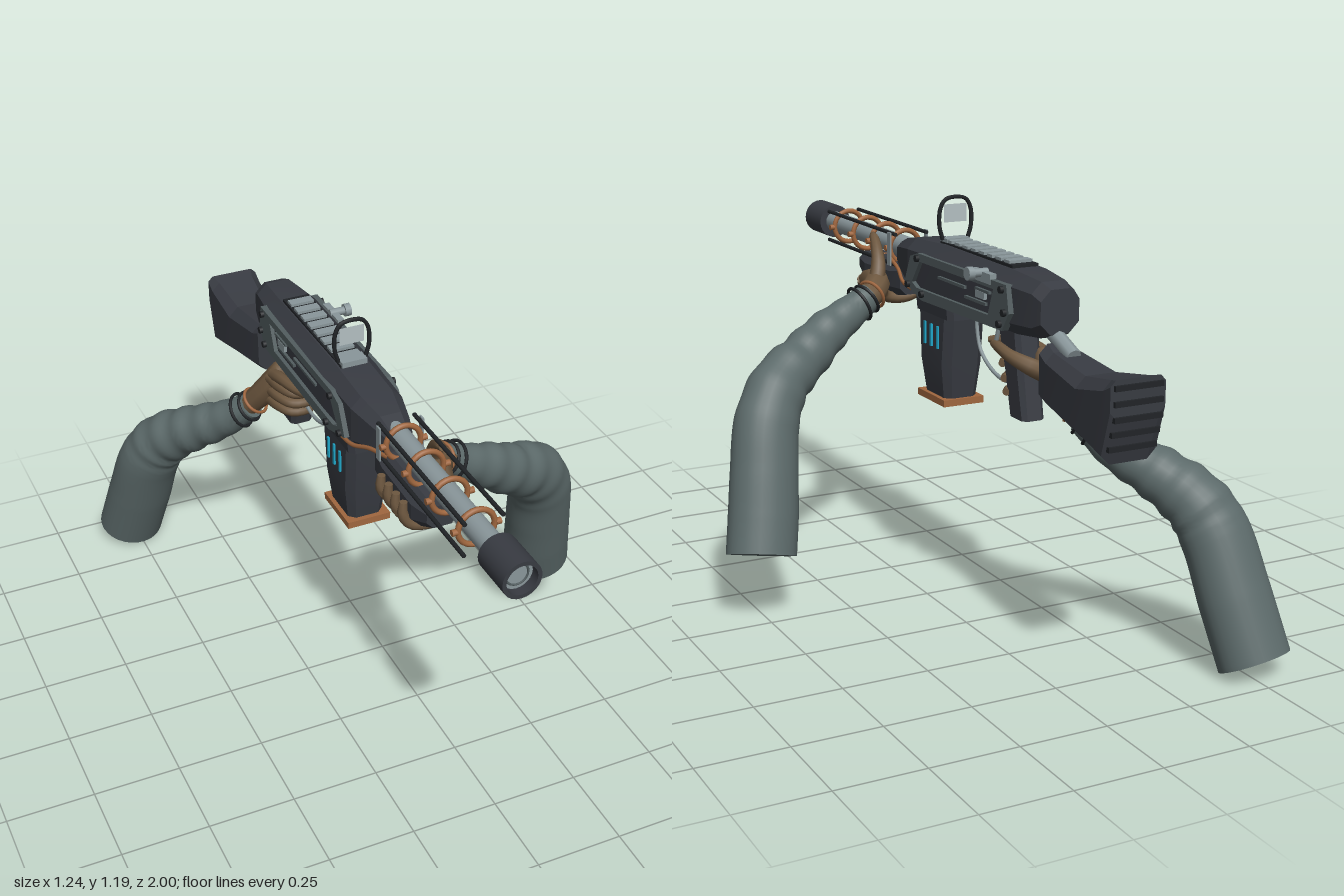
import * as THREE from 'three';
import { toCreasedNormals } from 'three/addons/utils/BufferGeometryUtils.js';

const material = (name, color, extra = {}) => {
  const m = new THREE.MeshStandardMaterial({ color, ...extra });
  m.name = name;
  return m;
};
const V = (a) => new THREE.Vector3(a[0], a[1], a[2]);

// Closed skin over equal rings of points, running along the rings' forward direction.
function skin(rings, crease) {
  const n = rings[0].length, m = rings.length, idx = [];
  const pts = rings.flat();
  const centre = (r) => r.reduce((s, p) => s.add(p), new THREE.Vector3()).divideScalar(n);
  pts.push(centre(rings[0]), centre(rings[m - 1]));
  for (let j = 0; j < n; j++) {
    const k = (j + 1) % n;
    for (let i = 0; i < m - 1; i++) {
      const a = i * n + j, b = i * n + k;
      idx.push(a, b, a + n, b, b + n, a + n);
    }
    idx.push(m * n, k, j, m * n + 1, (m - 1) * n + j, (m - 1) * n + k);
  }
  const g = new THREE.BufferGeometry().setFromPoints(pts);
  g.setIndex(idx);
  return toCreasedNormals(g, crease);
}

// Round limb through [x, y, z, radius] points.
function limb(data, { steps = 20, sides = 12, squash = 1, folds = 0 } = {}) {
  const curve = new THREE.CatmullRomCurve3(data.map(V));
  const normal = new THREE.Vector3(0.3, 0.5, 0.8), rings = [];
  for (let i = 0; i <= steps; i++) {
    const t = i / steps, s = t * (data.length - 1), k = Math.min(Math.floor(s), data.length - 2);
    let r = THREE.MathUtils.lerp(data[k][3], data[k + 1][3], s - k);
    if (folds && t < 0.66) r *= 1 + folds * Math.sin(t * 62) * Math.sin(t / 0.66 * Math.PI);
    const p = curve.getPoint(t), T = curve.getTangent(t);
    normal.addScaledVector(T, -normal.dot(T)).normalize();
    const B = T.clone().cross(normal), ring = [];
    for (let j = 0; j < sides; j++) {
      const a = j / sides * Math.PI * 2;
      const o = normal.clone().multiplyScalar(Math.cos(a) * r).addScaledVector(B, Math.sin(a) * r);
      o.z *= squash;
      ring.push(o.add(p));
    }
    rings.push(ring);
  }
  return skin(rings, 1.0);
}

// Faceted block from chamfered sections [z, halfWidth, yLow, yHigh, chamfer].
const block = (sections) => skin(sections.map(([z, w, lo, hi, c]) => [
  [w, lo + c], [w, hi - c], [w - c, hi], [c - w, hi], [-w, hi - c], [-w, lo + c], [c - w, lo], [w - c, lo],
].map(([x, y]) => new THREE.Vector3(x, y, z))), 0.15);
// The same, stacked upward: [y, halfWidth, -zFront, -zBack, chamfer].
const tower = (sections) => block(sections).rotateX(-Math.PI / 2);

export function createModel() {
  const dark = material('gunmetal', 0x383b42), black = material('black', 0x212427);
  const steel = material('steel', 0x8a979b), panel = material('panel grey', 0x525d5f);
  const copper = material('copper', 0xa0673f), cyan = material('cyan glow', 0x1fa6c8);
  const sleeve = material('sleeve', 0x5c6a6a), glove = material('glove', 0x6e5840);
  const glass = material('sight glass', 0xb4c0c2, { side: THREE.DoubleSide });

  const model = new THREE.Group(), gun = new THREE.Group();
  gun.name = 'gun';
  gun.position.x = -0.1;
  model.add(gun);
  const put = (parent, name, geo, mat, x = 0, y = 0, z = 0) => {
    const m = new THREE.Mesh(geo, mat);
    m.name = name;
    m.position.set(x, y, z);
    parent.add(m);
    return m;
  };
  const box = (name, mat, w, h, d, x, y, z) => put(gun, name, new THREE.BoxGeometry(w, h, d), mat, x, y, z);
  const tube = (name, mat, pts, r, steps = 24) => put(gun, name,
    new THREE.TubeGeometry(new THREE.CatmullRomCurve3(pts.map(V)), steps, r, 6), mat);
  const rod = (name, mat, r, len, x, y, z, sides = 20) => put(gun, name,
    new THREE.CylinderGeometry(r, r, len, sides).rotateX(Math.PI / 2), mat, x, y, z);
  const stud = (name, mat, r, len, x, y, z) => put(gun, name,
    new THREE.CylinderGeometry(r, r, len, 10).rotateZ(Math.PI / 2), mat, x, y, z);

  // Receiver, stock and foregrip
  put(gun, 'receiver', block([
    [-0.567, 0.058, 0.9, 1.02, 0.03], [-0.53, 0.065, 0.885, 1.035, 0.03], [-0.42, 0.078, 0.875, 1.045, 0.035],
    [0, 0.08, 0.875, 1.05, 0.035], [0.18, 0.075, 0.88, 1.04, 0.03], [0.27, 0.055, 0.91, 1.025, 0.025],
    [0.325, 0.038, 0.935, 1.005, 0.015]]), dark);
  put(gun, 'stock', block([
    [-0.94, 0.08, 0.775, 0.87, 0.015], [-0.905, 0.08, 0.647, 0.862, 0.025], [-0.77, 0.075, 0.675, 0.84, 0.03],
    [-0.6, 0.062, 0.71, 0.862, 0.025], [-0.563, 0.058, 0.72, 0.878, 0.025]]), dark);
  for (let i = 0; i < 5; i++)
    box('buttRidge', black, 0.14, 0.014, 0.02, 0, 0.85 - i * 0.04, i < 3 ? -0.938 : -0.938 + (i - 2) * 0.011);
  const link = rod('stockLink', steel, 0.022, 0.13, 0, 0.88, -0.58, 8);
  link.rotation.x = -0.4;
  put(gun, 'foregrip', block([
    [0.28, 0.05, 0.85, 0.945, 0.02], [0.34, 0.058, 0.838, 0.945, 0.03], [0.52, 0.058, 0.835, 0.94, 0.03],
    [0.585, 0.045, 0.87, 0.935, 0.02]]), dark);

  // Barrel, muzzle and cage
  rod('barrel', steel, 0.032, 0.66, 0, 0.985, 0.6);
  put(gun, 'muzzle', new THREE.LatheGeometry([[0.03, 0], [0.053, 0], [0.053, 0.125], [0.042, 0.125], [0.042, 0.095]]
    .flatMap(([r, y], i, a) => (i && i < a.length - 1 ? [new THREE.Vector2(r, y), new THREE.Vector2(r - 1e-5, y)] : [new THREE.Vector2(r, y)])), 24)
    .rotateX(Math.PI / 2), black, 0, 0.985, 0.875).material = dark;
  rod('muzzleFace', steel, 0.043, 0.01, 0, 0.985, 0.968);
  put(gun, 'boreRing', new THREE.TorusGeometry(0.03, 0.003, 6, 24), panel, 0, 0.985, 0.973);
  for (const z of [0.35, 0.485, 0.62, 0.765]) {
    put(gun, 'cageRing', new THREE.TorusGeometry(0.05, 0.008, 8, 24), copper, 0, 0.985, z);
    for (const s of [-1, 1]) stud('cageStud', copper, 0.009, 0.014, s * 0.06, 0.985, z);
  }
  for (const sx of [-1, 1]) {
    for (const sy of [-1, 1]) rod('cageRod', black, 0.006, 0.5, sx * 0.052, 0.985 + sy * 0.046, 0.555, 8);
    box('cageBar', steel, 0.005, 0.1, 0.02, sx * 0.062, 0.985, 0.33);

    // Side frame with an open window
    const frame = new THREE.Shape([[-0.17, 0.915], [-0.06, 0.88], [0.42, 0.888], [0.455, 0.94], [0.44, 1.015],
      [-0.08, 1.015], [-0.13, 1.0]].map(([a, b]) => new THREE.Vector2(a, b)));
    frame.holes.push(new THREE.Path([[-0.09, 0.912], [0.34, 0.916], [0.37, 0.992], [-0.07, 0.992], [-0.12, 0.925]]
      .map(([a, b]) => new THREE.Vector2(a, b))));
    put(gun, 'sideFrame', new THREE.ExtrudeGeometry(frame, { depth: 0.02, bevelEnabled: false }).rotateY(Math.PI / 2),
      panel, sx > 0 ? 0.07 : -0.09);
    for (const [y, z] of [[1.0, 0.08], [0.9, 0.05], [0.905, -0.41], [1.0, -0.42], [0.94, -0.435], [0.915, 0.14]])
      stud('frameScrew', black, 0.01, 0.014, sx * 0.093, y, z);
    for (const [y, z, d] of [[0.965, -0.12, 0.16], [0.94, -0.26, 0.12], [0.975, -0.3, 0.08]])
      box('windowBar', panel, 0.012, 0.008, d, sx * 0.081, y, z);
    box('boltCover', steel, 0.012, 0.02, 0.05, sx * 0.082, 0.962, -0.29);

    // Copper feed line and glowing magazine slots
    tube('feedLine', copper, [[sx * 0.048, 0.955, 0.36], [sx * 0.062, 0.935, 0.27], [sx * 0.08, 0.91, 0.2],
      [sx * 0.083, 0.9, 0.13]], 0.006);
    for (const z of [0.08, 0.04, 0])
      box('magazineLight', cyan, 0.006, 0.066, 0.009, sx * 0.0665, 0.78, z);
  }

  // Charging knob
  stud('chargingHandle', steel, 0.012, 0.06, 0.1, 1.025, -0.3);
  box('chargingMount', steel, 0.02, 0.028, 0.11, 0.082, 1.015, -0.3);
  stud('chargingKnob', steel, 0.019, 0.018, 0.124, 1.025, -0.3);

  // Top rail and reflex sight
  box('railBase', black, 0.08, 0.008, 0.42, 0, 1.05, -0.175);
  for (let i = 0; i < 8; i++) box('railTooth', steel, 0.07, 0.014, 0.03, 0, 1.055, -0.345 + i * 0.048);
  box('sightBase', steel, 0.075, 0.016, 0.04, 0, 1.057, 0.02);
  tube('sightHoop', black, [[-0.04, 1.06, 0.02], [-0.051, 1.1, 0.02], [-0.048, 1.15, 0.02], [-0.03, 1.176, 0.02],
    [0.03, 1.176, 0.02], [0.048, 1.15, 0.02], [0.051, 1.1, 0.02], [0.04, 1.06, 0.02]], 0.006, 40);
  put(gun, 'sightGlass', new THREE.PlaneGeometry(0.072, 0.052), glass, 0, 1.135, 0.02);

  // Magazine and its well
  put(gun, 'magazineWell', tower([[0.84, 0.064, -0.15, 0.07, 0.015], [0.9, 0.07, -0.15, 0.07, 0.015]]), dark);
  put(gun, 'magazine', tower([[0.6, 0.052, -0.115, 0.03, 0.018], [0.7, 0.064, -0.13, 0.042, 0.022],
    [0.85, 0.064, -0.14, 0.058, 0.022]]), dark);
  box('magazineFoot', copper, 0.13, 0.02, 0.17, 0, 0.59, 0.045);

  // Pistol grip, trigger and guard
  put(gun, 'pistolGrip', tower([[0.635, 0.034, 0.362, 0.448, 0.012], [0.76, 0.036, 0.332, 0.425, 0.014],
    [0.89, 0.038, 0.295, 0.405, 0.012]]), dark);
  tube('triggerGuard', steel, [[0, 0.88, -0.115], [0, 0.83, -0.115], [0, 0.765, -0.14], [0, 0.722, -0.21],
    [0, 0.71, -0.28], [0, 0.722, -0.345]], 0.006);
  tube('trigger', steel, [[0, 0.88, -0.25], [0, 0.83, -0.235], [0, 0.79, -0.22]], 0.007);

  // Arms
  const arms = new THREE.Group();
  arms.name = 'arms';
  model.add(arms);
  const sleeveOptions = { steps: 72, sides: 28, squash: 0.86, folds: 0.045 };
  put(arms, 'leftSleeve', limb([[0.05, 0.855, 0.285, 0.043], [0.13, 0.81, 0.27, 0.054], [0.21, 0.765, 0.25, 0.067],
    [0.3, 0.705, 0.215, 0.077], [0.39, 0.65, 0.17, 0.088], [0.45, 0.56, 0.125, 0.096], [0.48, 0.42, 0.08, 0.1],
    [0.5, 0.3, 0.045, 0.103], [0.52, 0.2, 0.015, 0.103]], sleeveOptions), sleeve);
  put(arms, 'rightSleeve', limb([[-0.21, 0.645, -0.505, 0.042], [-0.28, 0.57, -0.58, 0.061], [-0.36, 0.51, -0.66, 0.075],
    [-0.43, 0.44, -0.74, 0.09], [-0.465, 0.36, -0.785, 0.099], [-0.49, 0.2, -0.85, 0.103],
    [-0.515, 0.036, -0.915, 0.103]], sleeveOptions), sleeve);

  // Hands: palm first, then fingers and thumb
  const finger = (name, pts) => put(arms, name, limb(pts, { steps: 14, sides: 9 }), glove);
  finger('leftPalm', [[0.1, 0.83, 0.275, 0.04], [0.05, 0.855, 0.29, 0.04], [0.005, 0.875, 0.335, 0.042],
    [-0.02, 0.875, 0.4, 0.042], [-0.027, 0.87, 0.46, 0.032], [-0.03, 0.868, 0.495, 0.014]]);
  [0.5, 0.455, 0.41, 0.365].forEach((z, i) => finger('leftFinger' + (i + 1), [[-0.015, 0.87, z - 0.03, 0.02],
    [-0.035, 0.838, z, 0.019], [-0.09, 0.824, z, 0.017], [-0.15, 0.838, z, 0.016], [-0.172, 0.875, z, 0.015],
    [-0.17, 0.91, z, 0.011]]));
  finger('leftThumb', [[0.01, 0.87, 0.33, 0.026], [-0.01, 0.93, 0.35, 0.023], [-0.022, 0.975, 0.385, 0.018],
    [-0.034, 1.005, 0.43, 0.014], [-0.04, 1.012, 0.455, 0.008]]);
  finger('rightPalm', [[-0.24, 0.61, -0.54, 0.036], [-0.21, 0.655, -0.505, 0.034], [-0.18, 0.71, -0.465, 0.039],
    [-0.155, 0.76, -0.435, 0.04], [-0.14, 0.81, -0.415, 0.028], [-0.135, 0.825, -0.405, 0.012]]);
  finger('rightIndex', [[-0.165, 0.79, -0.42, 0.02], [-0.165, 0.81, -0.35, 0.018], [-0.15, 0.815, -0.27, 0.016],
    [-0.115, 0.812, -0.215, 0.014], [-0.095, 0.81, -0.195, 0.009]]);
  [0.775, 0.735, 0.7].forEach((y, i) => finger('rightFinger' + (i + 1), [[-0.17, y, -0.43, 0.021],
    [-0.165, y + 0.005, -0.36 - i * 0.01, 0.019], [-0.14, y, -0.315 - i * 0.012, 0.017],
    [-0.09, y, -0.31 - i * 0.012, 0.016], [-0.06, y, -0.335 - i * 0.012, 0.011]]));
  finger('rightThumb', [[-0.14, 0.76, -0.445, 0.028], [-0.09, 0.785, -0.445, 0.025], [-0.05, 0.81, -0.4, 0.018],
    [-0.045, 0.825, -0.34, 0.015], [-0.05, 0.825, -0.3, 0.009]]);

  // Wrist cords
  const cord = (x, y, z, r, dir, mat) => put(arms, 'wristCord', new THREE.TorusGeometry(r, 0.005, 6, 24), mat, x, y, z)
    .quaternion.setFromUnitVectors(new THREE.Vector3(0, 0, 1), V(dir).normalize());
  cord(0.06, 0.85, 0.283, 0.047, [0.85, -0.5, -0.2], black);
  cord(0.085, 0.837, 0.28, 0.053, [0.85, -0.4, -0.1], black);
  cord(0.04, 0.86, 0.29, 0.044, [0.85, -0.4, -0.4], copper);
  cord(-0.215, 0.64, -0.51, 0.046, [-0.55, -0.6, -0.6], black);
  cord(-0.2, 0.665, -0.495, 0.042, [-0.5, -0.75, -0.5], copper);
  cord(-0.235, 0.62, -0.53, 0.052, [-0.6, -0.5, -0.6], black);
  return model;
}
